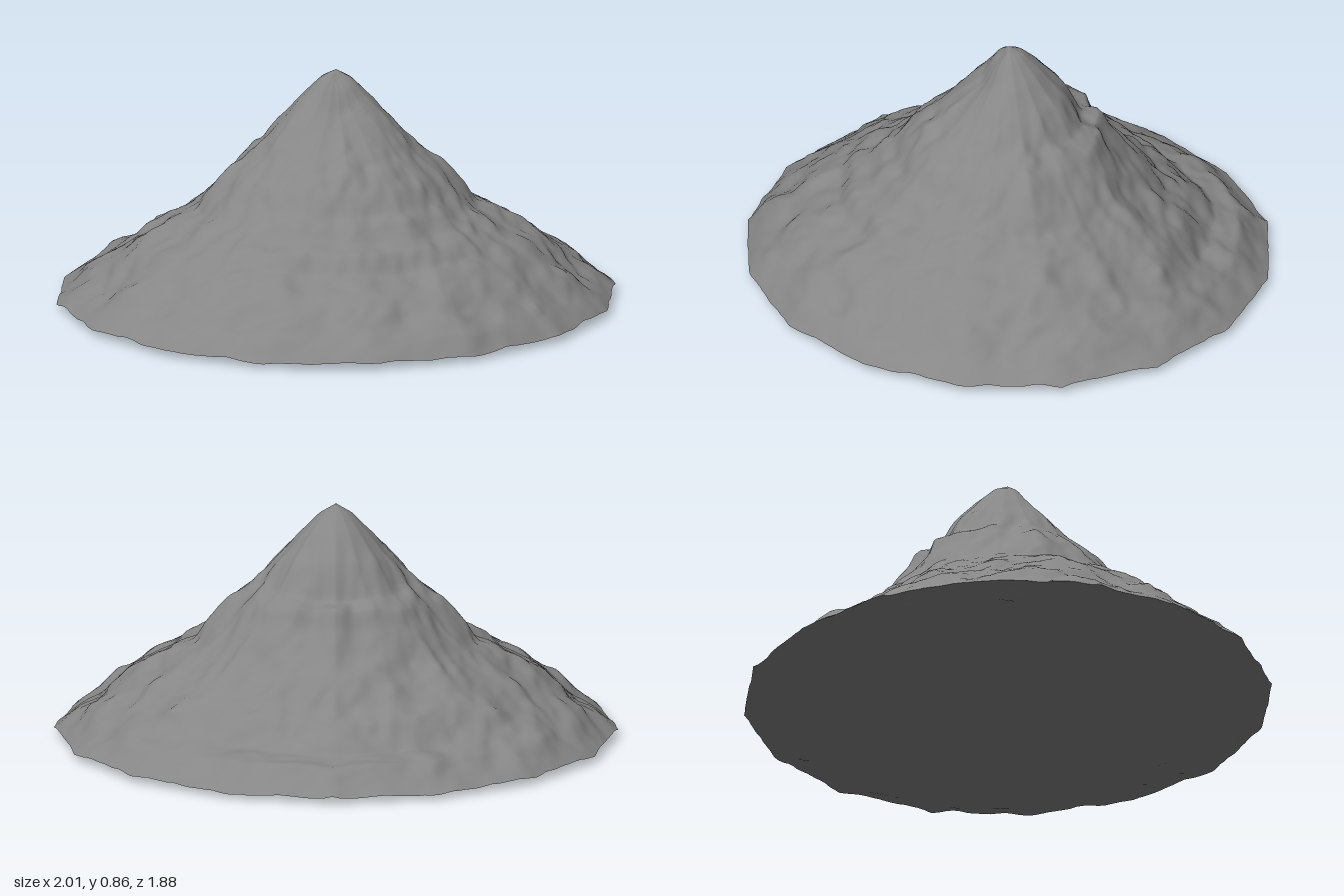
import * as THREE from 'three';

const SIDES = 16, PER_SIDE = 14, SEGS = SIDES * PER_SIDE;
const DEPTH = 0.94;
const { lerp, smoothstep } = THREE.MathUtils;

// Slope profiles: [distance from the axis as a fraction of the rim, height]
const flank = [[0, 0.86], [0.06, 0.825], [0.13, 0.755], [0.2, 0.675], [0.27, 0.595], [0.35, 0.52], [0.41, 0.46],
  [0.5, 0.365], [0.6, 0.315], [0.7, 0.25], [0.8, 0.175], [0.9, 0.105], [1, 0.037]];
const front = [[0, 0.86], [0.02, 0.83], [0.06, 0.79], [0.1, 0.72], [0.17, 0.67], [0.22, 0.62], [0.27, 0.57],
  [0.31, 0.553], [0.38, 0.49], [0.43, 0.43], [0.48, 0.41], [0.53, 0.35], [0.59, 0.325], [0.64, 0.262],
  [0.72, 0.23], [0.79, 0.2], [0.86, 0.15], [0.94, 0.09], [1, 0.028]];
const back = [[0, 0.86], [0.06, 0.835], [0.12, 0.785], [0.21, 0.685], [0.28, 0.575], [0.36, 0.56], [0.39, 0.495],
  [0.45, 0.41], [0.53, 0.33], [0.61, 0.26], [0.69, 0.22], [0.78, 0.125], [0.88, 0.11], [0.95, 0.055], [1, 0.028]];

function sample(profile, t) {
  let i = 1;
  while (i < profile.length - 1 && profile[i][0] < t) i++;
  const [t0, y0] = profile[i - 1], [t1, y1] = profile[i];
  return lerp(y0, y1, Math.min(1, (t - t0) / (t1 - t0)));
}

// Seeded value noise in the range -1 to 1
function hash(i, j, seed) {
  let h = Math.imul(i + 101, 374761393) ^ Math.imul(j + 211, 668265263) ^ Math.imul(seed, 974711);
  h = Math.imul(h ^ (h >>> 13), 1274126177);
  return ((h ^ (h >>> 16)) >>> 0) / 2147483648 - 1;
}

function noise(x, z, seed) {
  const i = Math.floor(x), j = Math.floor(z);
  const u = smoothstep(x - i, 0, 1), v = smoothstep(z - j, 0, 1);
  return lerp(lerp(hash(i, j, seed), hash(i + 1, j, seed), u),
    lerp(hash(i, j + 1, seed), hash(i + 1, j + 1, seed), u), v);
}

// Layered noise, mirrored across x = 0
function rough(x, z, seed) {
  const ax = Math.abs(x);
  return 0.4 * noise(ax * 7, z * 7, seed) + 0.4 * noise(ax * 14, z * 14, seed + 1)
    + 0.2 * noise(ax * 30, z * 30, seed + 2);
}

// Point on the sixteen-sided rim
function rimPoint(j) {
  const k = Math.floor(j / PER_SIDE), f = (j % PER_SIDE) / PER_SIDE;
  const a = k / SIDES * Math.PI * 2, b = (k + 1) / SIDES * Math.PI * 2;
  return [lerp(Math.cos(a), Math.cos(b), f), DEPTH * lerp(Math.sin(a), Math.sin(b), f)];
}

// Small bumps shared by the slope and the underside, so they meet at the rim
const rimBump = (x, z) => 0.015 * rough(x, z, 31);
const rimPush = (x, z) => 0.004 * noise(Math.abs(x) * 20, z * 20, 47);

// Concentric rings round a centre vertex; place(t, x, z) gives each position
function ringSurface(rings, place, faceUp) {
  const pos = [...place(0, 0, 0)], index = [];
  const id = (i, j) => (i === 0 ? 0 : 1 + (i - 1) * SEGS + j % SEGS);
  const tri = (a, b, c) => index.push(...(faceUp ? [a, b, c] : [a, c, b]));
  for (let i = 1; i <= rings; i++) {
    for (let j = 0; j < SEGS; j++) {
      const [x, z] = rimPoint(j), t = i / rings;
      pos.push(...place(t, x * t, z * t));
      tri(id(i - 1, j), id(i, j + 1), id(i, j));
      if (i > 1) tri(id(i - 1, j), id(i - 1, j + 1), id(i, j + 1));
    }
  }
  const geo = new THREE.BufferGeometry();
  geo.setAttribute('position', new THREE.Float32BufferAttribute(pos, 3));
  geo.setIndex(index);
  geo.computeVertexNormals();
  return geo;
}

// Slope: blended profiles with wavering ledges, pushed along the incline by the roughness
function slopePoint(t, x, z) {
  const r = Math.hypot(x, z) || 1;
  const w = (z / r) ** 2;
  const edge = smoothstep(t, 0.88, 1);
  const mid = smoothstep(t, 0.04, 0.3) * (1 - edge);
  const s = t + 0.014 * mid * noise(Math.abs(x) * 6 + 0.5, z * 6, 71);
  const y = lerp(sample(flank, s), sample(z > 0 ? front : back, s), w);
  const d = 0.024 * mid * rough(x, z, 5);
  const out = (0.65 * d + edge * rimPush(x, z)) / r;
  return [x + out * x, y + 0.75 * d + edge * rimBump(x, z), z + out * z];
}

// Underside: nearly flat, with a slight sag just inside the rim
function undersidePoint(t, x, z) {
  const r = Math.hypot(x, z) || 1;
  const edge = smoothstep(t, 0.88, 1);
  const out = edge * rimPush(x, z) / r;
  const rimY = lerp(0.037, 0.028, (z / r) ** 2);
  return [x + out * x, Math.max(0, lerp(0.016, rimY, edge) + rimBump(x, z)), z + out * z];
}

export function createModel() {
  const group = new THREE.Group();
  group.name = 'dirtMound';
  const material = new THREE.MeshStandardMaterial({ color: 0x868686 });
  const add = (name, geo) => {
    const mesh = new THREE.Mesh(geo, material);
    mesh.name = name;
    group.add(mesh);
  };
  add('moundSlope', ringSurface(90, slopePoint, true));
  add('moundUnderside', ringSurface(40, undersidePoint, false));
  return group;
}
